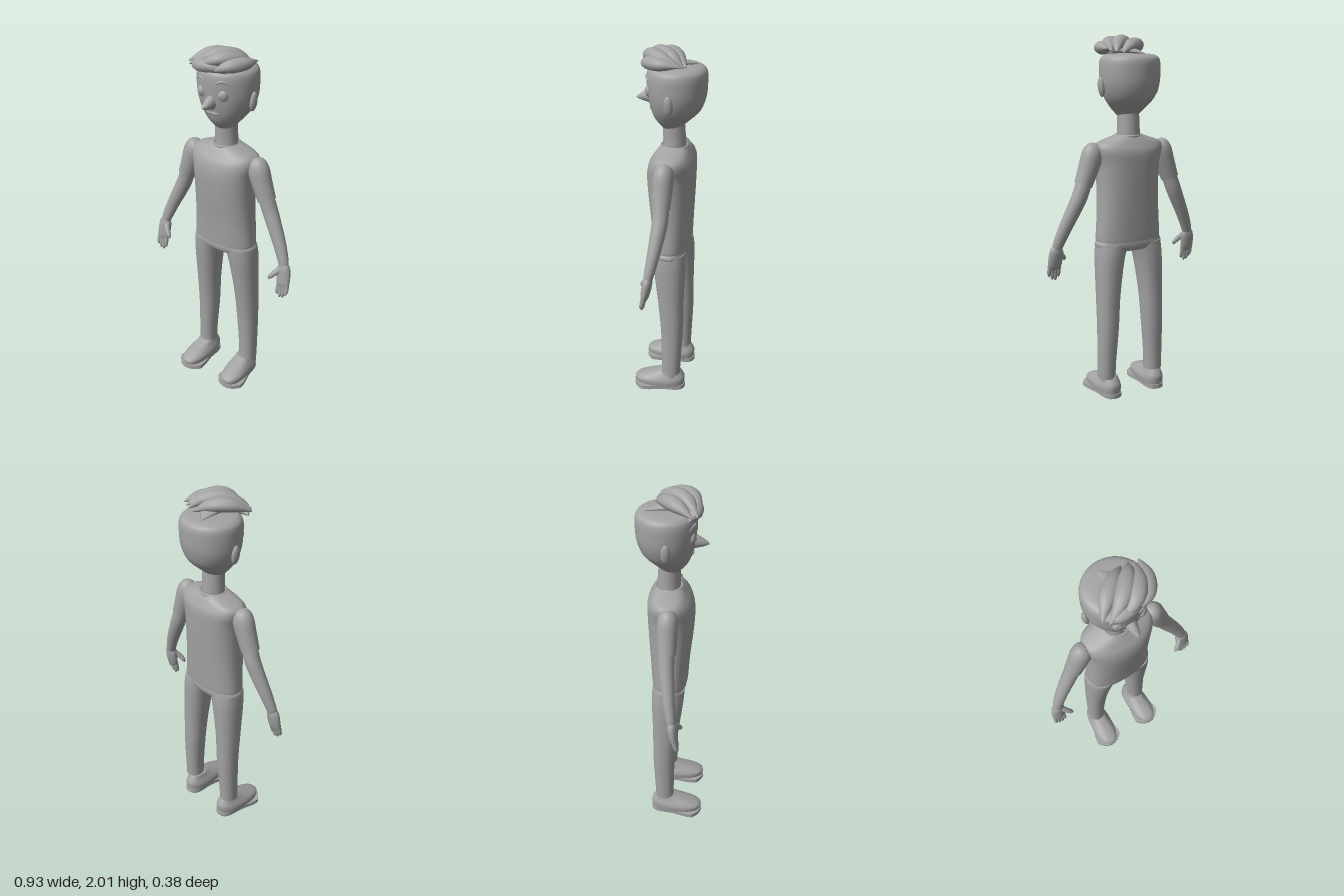
import * as THREE from 'three';

const grey = new THREE.MeshStandardMaterial({ color: 0xa3a3a3 });
grey.name = 'plain grey';

// Catmull-Rom interpolation of rows [x, y, z, halfWidth, halfDepth]
function refine(rows, steps) {
  const out = [];
  for (let i = 0; i < rows.length - 1; i++) {
    const a = rows[Math.max(i - 1, 0)], b = rows[i], c = rows[i + 1], d = rows[Math.min(i + 2, rows.length - 1)];
    for (let k = 0; k < steps; k++) {
      const t = k / steps;
      out.push(b.map((v, j) => {
        const m0 = (c[j] - a[j]) / 2, m1 = (d[j] - v) / 2, t2 = t * t, t3 = t2 * t;
        return (2 * t3 - 3 * t2 + 1) * v + (t3 - 2 * t2 + t) * m0 + (3 * t2 - 2 * t3) * c[j] + (t3 - t2) * m1;
      }));
    }
  }
  out.push(rows[rows.length - 1]);
  return out;
}

// Capped skin over superelliptic rings; ref is the direction of halfDepth
function loft(rows, { n = 28, steps = 4, power = 2, ref = [0, 0, 1], level = false } = {}) {
  const r = refine(rows, steps), pos = [], idx = [];
  const centres = r.map(q => new THREE.Vector3(q[0], q[1], q[2]));
  const bend = v => Math.sign(v) * Math.pow(Math.abs(v), 2 / power);
  const addRing = (i, scale) => {
    const c = centres[i];
    const t = centres[Math.min(i + 1, r.length - 1)].clone().sub(centres[Math.max(i - 1, 0)]).normalize();
    if (level) t.set(0, Math.sign(t.y), 0);
    const v = new THREE.Vector3(...ref);
    v.addScaledVector(t, -v.dot(t)).normalize();
    const u = v.clone().cross(t);
    for (let j = 0; j < n; j++) {
      const a = j / n * Math.PI * 2;
      const p = c.clone().addScaledVector(u, bend(Math.cos(a)) * Math.max(r[i][3], 0) * scale)
        .addScaledVector(v, bend(Math.sin(a)) * Math.max(r[i][4], 0) * scale);
      pos.push(p.x, p.y, p.z);
    }
  };
  const join = k => {
    for (let j = 0; j < n; j++) {
      const a = k * n + j, b = k * n + (j + 1) % n;
      idx.push(a, b, a + n, b, b + n, a + n);
    }
  };
  addRing(0, 0);
  addRing(0, 1);
  join(0);
  for (let i = 0; i < r.length; i++) addRing(i, 1);
  for (let i = 0; i < r.length - 1; i++) join(2 + i);
  const end = r.length + 2;
  addRing(r.length - 1, 1);
  addRing(r.length - 1, 0);
  join(end);
  const g = new THREE.BufferGeometry();
  g.setAttribute('position', new THREE.Float32BufferAttribute(pos, 3));
  g.setIndex(idx);
  g.computeVertexNormals();
  return g;
}

export function createModel() {
  const model = new THREE.Group();
  const add = (name, geometry, parent = model) => {
    const m = new THREE.Mesh(geometry, grey);
    m.name = name;
    parent.add(m);
    return m;
  };
  const ball = (name, x, y, z, a, b, c) => {
    const m = add(name, new THREE.SphereGeometry(1, 20, 14));
    m.position.set(x, y, z);
    m.scale.set(a, b, c);
    return m;
  };

  // Head and neck
  add('head', loft([
    [0, 1.57, -0.01, 0.045, 0.045], [0, 1.595, -0.004, 0.066, 0.064], [0, 1.63, -0.01, 0.098, 0.096],
    [0, 1.68, -0.025, 0.135, 0.13], [0, 1.75, -0.031, 0.16, 0.15], [0, 1.82, -0.031, 0.165, 0.156],
    [0, 1.87, -0.031, 0.162, 0.155], [0, 1.895, -0.031, 0.148, 0.142], [0, 1.908, -0.031, 0.11, 0.105],
    [0, 1.912, -0.031, 0.002, 0.002]], { n: 40, level: true }));
  add('neck', loft([[0, 1.45, -0.018, 0.066, 0.064], [0, 1.52, -0.017, 0.061, 0.06], [0, 1.61, -0.012, 0.06, 0.058]], { level: true }));
  add('nose', loft([[0, 1.74, 0.09, 0.034, 0.05], [0, 1.737, 0.125, 0.028, 0.034],
    [0, 1.731, 0.16, 0.019, 0.018], [0, 1.728, 0.186, 0.004, 0.004]], { ref: [0, 1, 0], n: 18 }));
  add('mouth', loft([[-0.055, 1.69, 0.085, 0.003, 0.003], [-0.025, 1.678, 0.101, 0.007, 0.006],
    [0, 1.682, 0.106, 0.006, 0.005], [0.025, 1.678, 0.101, 0.007, 0.006], [0.055, 1.69, 0.085, 0.003, 0.003]],
  { ref: [0, 1, 0], n: 10 }));

  // Hair swept back from the forehead
  const strands = [
    [[-0.145, 0.105, 1.925], [-0.075, 0.03, 1.955], [0.0, -0.035, 1.95], [0.07, -0.09, 1.915]],
    [[-0.12, 0.13, 1.92], [-0.02, 0.07, 1.967], [0.06, -0.015, 1.963], [0.105, -0.085, 1.92]],
    [[-0.07, 0.14, 1.915], [0.03, 0.1, 1.962], [0.095, 0.02, 1.958], [0.13, -0.075, 1.925]],
    [[0.03, 0.13, 1.91], [0.09, 0.095, 1.935], [0.137, 0.02, 1.94], [0.15, -0.07, 1.935]],
    [[-0.135, 0.09, 1.905], [-0.07, 0.11, 1.92], [0.01, 0.11, 1.925], [0.08, 0.1, 1.9]],
  ];
  const widths = [0.004, 0.04, 0.038, 0.004];
  strands.forEach((s, i) => add('hairStrand' + (i + 1), loft(
    s.map(([x, z, y], k) => [x, y, z, widths[k], widths[k] * 0.82]), { ref: [0, 1, 0], n: 14, steps: 6 })));
  add('hairSpike', loft([[0.02, 1.93, 0.03, 0.07, 0.025], [0, 1.925, -0.04, 0.05, 0.016],
    [-0.033, 1.912, -0.13, 0.002, 0.002]], { ref: [0, 1, 0], n: 12 }));

  // Shirt body with hem and collar
  add('shirt', loft([
    [0, 0.905, -0.01, 0.188, 0.099], [0, 0.93, -0.01, 0.189, 0.101], [0, 1.05, -0.009, 0.18, 0.108],
    [0, 1.2, -0.005, 0.175, 0.12], [0, 1.33, -0.004, 0.181, 0.126], [0, 1.4, -0.01, 0.196, 0.118],
    [0, 1.44, -0.014, 0.187, 0.096], [0, 1.465, -0.016, 0.125, 0.08], [0, 1.482, -0.017, 0.074, 0.067]],
  { n: 44, power: 2.4, level: true }));
  const collar = add('collar', new THREE.TorusGeometry(0.069, 0.007, 8, 32));
  collar.rotation.x = Math.PI / 2;
  collar.position.set(0, 1.479, -0.017);

  // Trouser seat
  add('trouserSeat', loft([[0, 0.842, -0.012, 0.06, 0.05], [0, 0.855, -0.012, 0.15, 0.085],
    [0, 0.88, -0.012, 0.197, 0.096], [0, 0.91, -0.012, 0.185, 0.095]], { power: 2.4, level: true, n: 36 }));

  for (const s of [1, -1]) {
    const side = s > 0 ? 'left' : 'right';
    const part = (name, rows, opts) => add(side + name, loft(rows.map(([x, ...q]) => [x * s, ...q]), opts));

    // Face features on this side
    ball(side + 'Eye', s * 0.064, 1.785, 0.1, 0.029, 0.031, 0.022);
    ball(side + 'Pupil', s * 0.06, 1.785, 0.12, 0.011, 0.013, 0.005);
    const rim = add(side + 'EyeRim', new THREE.TorusGeometry(0.03, 0.004, 8, 24));
    rim.position.set(s * 0.065, 1.785, 0.105);
    rim.rotation.y = s * 0.4;
    part('Brow', [[0.035, 1.842, 0.122, 0.003, 0.004], [0.06, 1.856, 0.116, 0.007, 0.008],
      [0.085, 1.852, 0.102, 0.006, 0.006], [0.105, 1.84, 0.09, 0.002, 0.002]], { ref: [0, 1, 0], n: 10 });
    const ear = ball(side + 'Ear', s * 0.164, 1.74, -0.022, 0.017, 0.053, 0.024);
    ear.rotation.z = -s * 0.12;

    // Sleeve, arm and hand
    part('Sleeve', [[0.186, 1.44, -0.008, 0.012, 0.012], [0.195, 1.425, -0.008, 0.045, 0.04],
      [0.212, 1.385, -0.008, 0.06, 0.054], [0.238, 1.31, -0.008, 0.056, 0.053], [0.27, 1.225, -0.008, 0.05, 0.048]]);
    part('Arm', [[0.262, 1.245, -0.008, 0.043, 0.042], [0.29, 1.17, -0.01, 0.043, 0.042],
      [0.322, 1.1, -0.004, 0.041, 0.039], [0.37, 1.0, 0.008, 0.036, 0.033], [0.405, 0.915, 0.021, 0.031, 0.027],
      [0.415, 0.88, 0.027, 0.026, 0.023]]);
    part('Palm', [[0.408, 0.905, 0.024, 0.018, 0.016], [0.415, 0.875, 0.028, 0.037, 0.026],
      [0.42, 0.83, 0.034, 0.041, 0.025], [0.424, 0.785, 0.042, 0.038, 0.021], [0.425, 0.765, 0.044, 0.028, 0.013]]);
    for (let f = 0; f < 4; f++) {
      const x = 0.397 + f * 0.018, tip = [0.715, 0.7, 0.705, 0.722][f];
      part('Finger' + (f + 1), [[x, 0.79, 0.043, 0.011, 0.013], [x + 0.001, 0.75, 0.051, 0.0115, 0.012],
        [x, tip + 0.012, 0.057, 0.009, 0.009], [x, tip, 0.057, 0.002, 0.002]], { n: 12 });
    }
    part('Thumb', [[0.4, 0.865, 0.04, 0.018, 0.015], [0.375, 0.838, 0.06, 0.015, 0.014],
      [0.356, 0.815, 0.07, 0.012, 0.012], [0.35, 0.8, 0.074, 0.002, 0.002]], { n: 14 });

    // Trouser leg
    part('TrouserLeg', [[0.1, 0.89, -0.012, 0.092, 0.09], [0.119, 0.8, -0.018, 0.08, 0.088],
      [0.134, 0.6, -0.028, 0.066, 0.073], [0.141, 0.4, -0.037, 0.059, 0.063],
      [0.149, 0.2, -0.035, 0.051, 0.055], [0.15, 0.11, -0.033, 0.05, 0.053]], { power: 2.2, level: true });
    part('Ankle', [[0.148, 0.14, -0.033, 0.038, 0.04], [0.148, 0.06, -0.033, 0.038, 0.04]], { level: true });

    // Shoe on a flat sole, toes turned slightly outward
    const shoe = new THREE.Group();
    shoe.name = side + 'Shoe';
    shoe.position.set(s > 0 ? 0.133 : -0.15, 0, 0);
    shoe.rotation.y = s * 0.05;
    model.add(shoe);
    add('shoeUpper', loft([[0, 0.018, 0.037, 0.066, 0.143], [0, 0.05, 0.037, 0.069, 0.147],
      [0, 0.072, 0.018, 0.062, 0.128], [0, 0.095, -0.008, 0.05, 0.09], [0, 0.118, -0.03, 0.042, 0.052]],
    { power: 2.4, level: true }), shoe);
    const outline = new THREE.Shape();
    outline.moveTo(0, 0.113);
    outline.bezierCurveTo(0.06, 0.113, 0.055, 0.05, 0.058, 0);
    outline.bezierCurveTo(0.062, -0.05, 0.085, -0.09, 0.08, -0.14);
    outline.bezierCurveTo(0.06, -0.17, 0.03, -0.188, 0, -0.188);
    outline.bezierCurveTo(-0.03, -0.188, -0.06, -0.17, -0.08, -0.14);
    outline.bezierCurveTo(-0.085, -0.09, -0.062, -0.05, -0.058, 0);
    outline.bezierCurveTo(-0.055, 0.05, -0.06, 0.113, 0, 0.113);
    const sole = add('sole', new THREE.ExtrudeGeometry(outline, { depth: 0.024, bevelEnabled: false, curveSegments: 8 }), shoe);
    sole.rotation.x = -Math.PI / 2;
    // Laces across the instep
    for (let k = 0; k < 3; k++) {
      const z = 0.055 + k * 0.022, y = 0.104 - k * 0.009;
      add('lace', loft([[-0.034, y - 0.016, z, 0.003, 0.003], [0, y, z, 0.004, 0.004],
        [0.034, y - 0.016, z, 0.003, 0.003]], { n: 8 }), shoe);
    }
  }
  return model;
}
